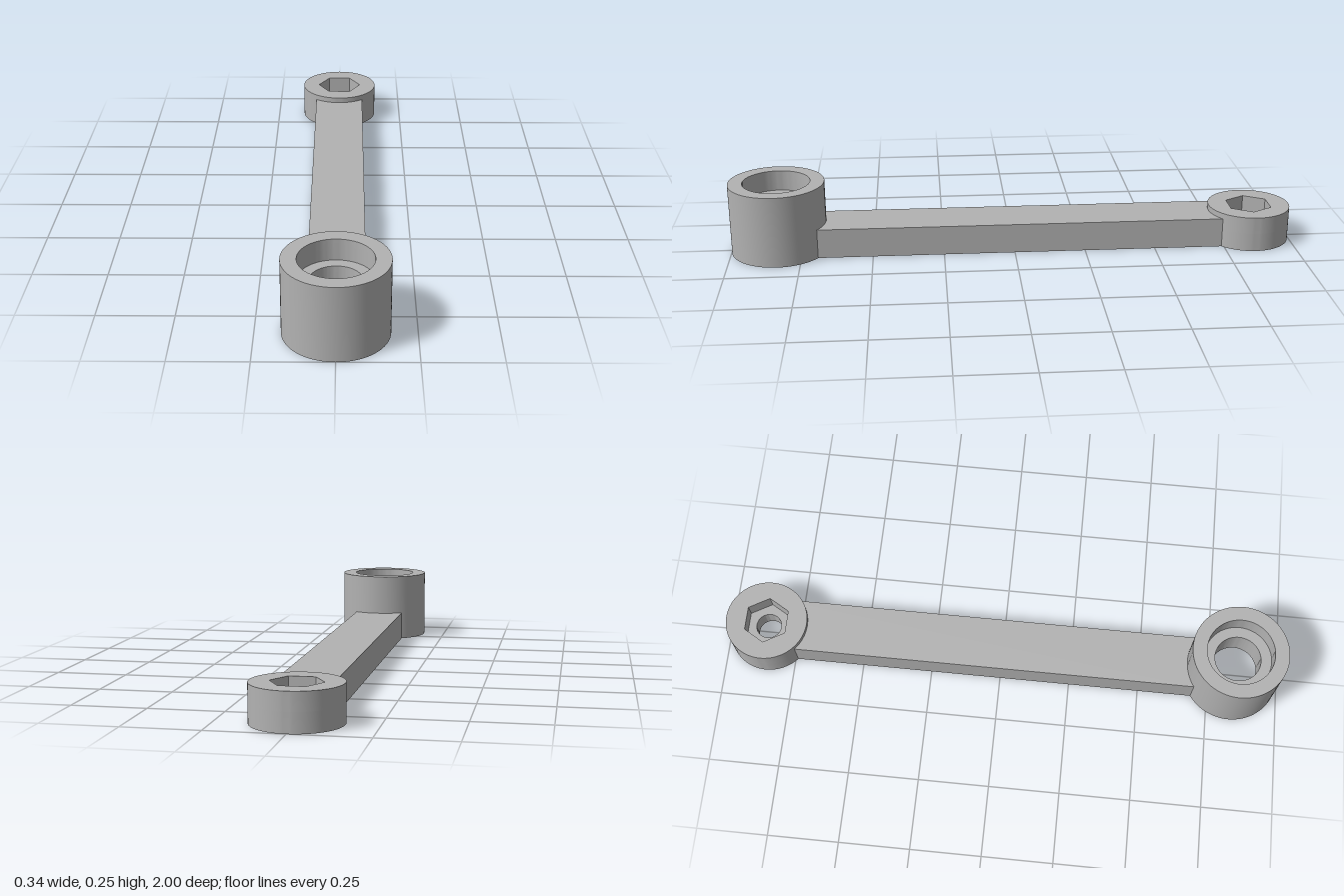
import * as THREE from 'three';
import { toCreasedNormals } from 'three/addons/utils/BufferGeometryUtils.js';

const BEARING = { z: 0.832, r: 0.168 };
const NUT = { z: -0.854, r: 0.146 };

// Extrude a plan shape (x, -z) upward from y0 to y1
function slab(shape, y0, y1) {
  const geo = new THREE.ExtrudeGeometry(shape, { depth: y1 - y0, bevelEnabled: false, curveSegments: 48 });
  geo.rotateX(-Math.PI / 2).translate(0, y0, 0);
  return toCreasedNormals(geo, 0.5);
}

function disc(radius, hole) {
  const shape = new THREE.Shape().absarc(0, 0, radius, 0, Math.PI * 2, false);
  shape.holes.push(hole);
  return shape;
}

export function createModel() {
  const model = new THREE.Group();
  const grey = new THREE.MeshStandardMaterial({ color: 0xb2b2b2 });
  grey.name = 'grey';

  const add = (parent, name, geo) => {
    const mesh = new THREE.Mesh(geo, grey);
    mesh.name = name;
    parent.add(mesh);
  };

  // Tall boss: through hole with a counterbore at both ends
  const h = 0.254, bore = 0.118, hole = 0.081, depth = 0.073;
  const profile = [
    [bore, 0], [BEARING.r, 0], [BEARING.r, h], [bore, h], [bore, h - depth],
    [hole, h - depth], [hole, depth], [bore, depth], [bore, 0],
  ].map(([x, y]) => new THREE.Vector2(x, y));
  const boss = toCreasedNormals(new THREE.LatheGeometry(profile, 96), 0.5);
  add(model, 'bearingBoss', boss.translate(0, 0, BEARING.z));

  // Low boss: round hole below, hexagonal nut pocket above
  const nutBoss = new THREE.Group();
  nutBoss.name = 'nutBoss';
  nutBoss.position.z = NUT.z;
  model.add(nutBoss);
  const round = new THREE.Path().absarc(0, 0, 0.045, 0, Math.PI * 2, true);
  const hex = new THREE.Path().setFromPoints(Array.from({ length: 6 }, (_, i) =>
    new THREE.Vector2(0.084 * Math.cos(-i * Math.PI / 3), 0.084 * Math.sin(-i * Math.PI / 3))));
  hex.closePath();
  add(nutBoss, 'boltHoleRing', slab(disc(NUT.r, round), 0, 0.065));
  add(nutBoss, 'nutPocketRing', slab(disc(NUT.r, hex), 0.065, 0.125));

  // Arm: straight bar whose ends are cut to fit the round bosses
  const w = 0.093;
  const a = Math.acos(w / BEARING.r), b = Math.acos(w / NUT.r);
  const bar = new THREE.Shape();
  bar.absarc(0, -BEARING.z, BEARING.r, Math.PI - a, a, true);
  bar.absarc(0, -NUT.z, NUT.r, -b, b - Math.PI, true);
  bar.closePath();
  add(model, 'arm', slab(bar, 0, 0.105));

  return model;
}
